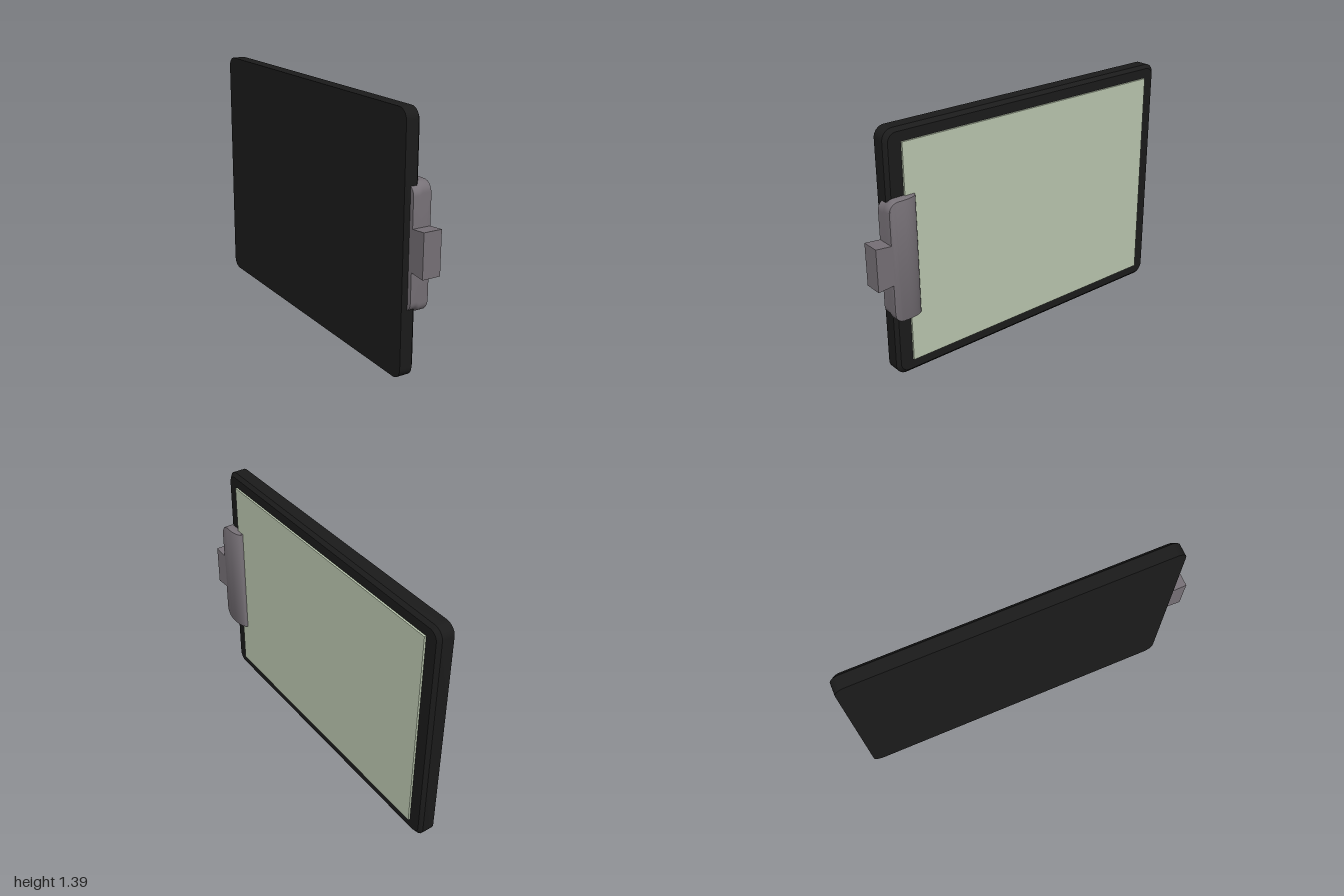
import * as THREE from 'three';
import { toCreasedNormals } from 'three/addons/utils/BufferGeometryUtils.js';

// Closed skin over rings of [x, y, z]; rings run counter-clockwise about the loft direction
function loft(rings, crease = 0.5) {
  const pos = [];
  const tri = (a, b, c) => pos.push(...a, ...b, ...c);
  const n = rings[0].length;
  const centre = (ring) => [0, 1, 2].map((k) => ring.reduce((s, p) => s + p[k], 0) / n);
  for (let i = 0; i < rings.length - 1; i++) {
    for (let j = 0; j < n; j++) {
      const k = (j + 1) % n;
      tri(rings[i][j], rings[i][k], rings[i + 1][k]);
      tri(rings[i][j], rings[i + 1][k], rings[i + 1][j]);
    }
  }
  const first = rings[0], last = rings[rings.length - 1];
  const c0 = centre(first), c1 = centre(last);
  for (let j = 0; j < n; j++) {
    const k = (j + 1) % n;
    tri(c0, first[k], first[j]);
    tri(c1, last[j], last[k]);
  }
  const geo = new THREE.BufferGeometry();
  geo.setAttribute('position', new THREE.Float32BufferAttribute(pos, 3));
  return toCreasedNormals(geo, crease);
}

// Rounded rectangle in the yz plane at a given x
function boardRing(x, inset) {
  const r = 0.06 - inset * 0.5, hy = 0.695 - inset, hz = 0.9425 - inset;
  const ring = [];
  const corners = [[1, 1], [-1, 1], [-1, -1], [1, -1]];
  corners.forEach(([sy, sz], q) => {
    for (let i = 0; i <= 8; i++) {
      const a = (q + i / 8) * Math.PI / 2;
      ring.push([x, 0.695 + sy * (hy - r) + r * Math.cos(a), -0.0575 + sz * (hz - r) + r * Math.sin(a)]);
    }
  });
  return ring;
}

// Clip cross-section in the xy plane: wider jaw above a slightly narrower skirt
function clipRing(z, top, half) {
  const side = [[-0.037, half - 0.011], [0, half - 0.011], [0.018, half], [top - 0.008, half], [top - 0.002, half - 0.003], [top, half - 0.01]];
  const cy = 0.695;
  return [
    ...side.map(([x, h]) => [x, cy - h, z]),
    ...side.slice().reverse().map(([x, h]) => [x, cy + h, z]),
  ];
}

export function createModel() {
  const group = new THREE.Group();
  const add = (name, geo, color) => {
    const mesh = new THREE.Mesh(geo, new THREE.MeshStandardMaterial({ color }));
    mesh.name = name;
    group.add(mesh);
    return mesh;
  };

  // Backing board with a chamfered front edge
  add('board', loft([boardRing(-0.072, 0), boardRing(0, 0), boardRing(0.018, 0.02)]), 0x1b1b1b);

  // Sheet of paper
  const paper = add('paper', new THREE.BoxGeometry(0.018, 1.24, 1.7), 0xbcc8b0);
  paper.position.set(0.02, 0.695, -0.06);

  // Clip jaw: curved lip at the paper, rounded corners at the outer end
  const rings = [];
  for (let i = 0; i <= 8; i++) {
    const a = (i / 8) * Math.PI / 2;
    rings.push(clipRing(0.82 - 0.085 * Math.cos(a), 0.034 + 0.034 * Math.sin(a), 0.338));
  }
  for (let i = 0; i <= 8; i++) {
    const a = (i / 8) * Math.PI / 2;
    rings.push(clipRing(0.855 + 0.055 * Math.sin(a), 0.068, 0.283 + 0.055 * Math.cos(a)));
  }
  add('clip', loft(rings), 0x777177);

  // Thumb tab, flaring slightly outward
  const tabRing = (z, h) => [[-0.037, 0.695 - h, z], [0.068, 0.695 - h, z], [0.068, 0.695 + h, z], [-0.037, 0.695 + h, z]];
  add('clipTab', loft([tabRing(0.9, 0.11), tabRing(1, 0.12)]), 0x777177);

  return group;
}
